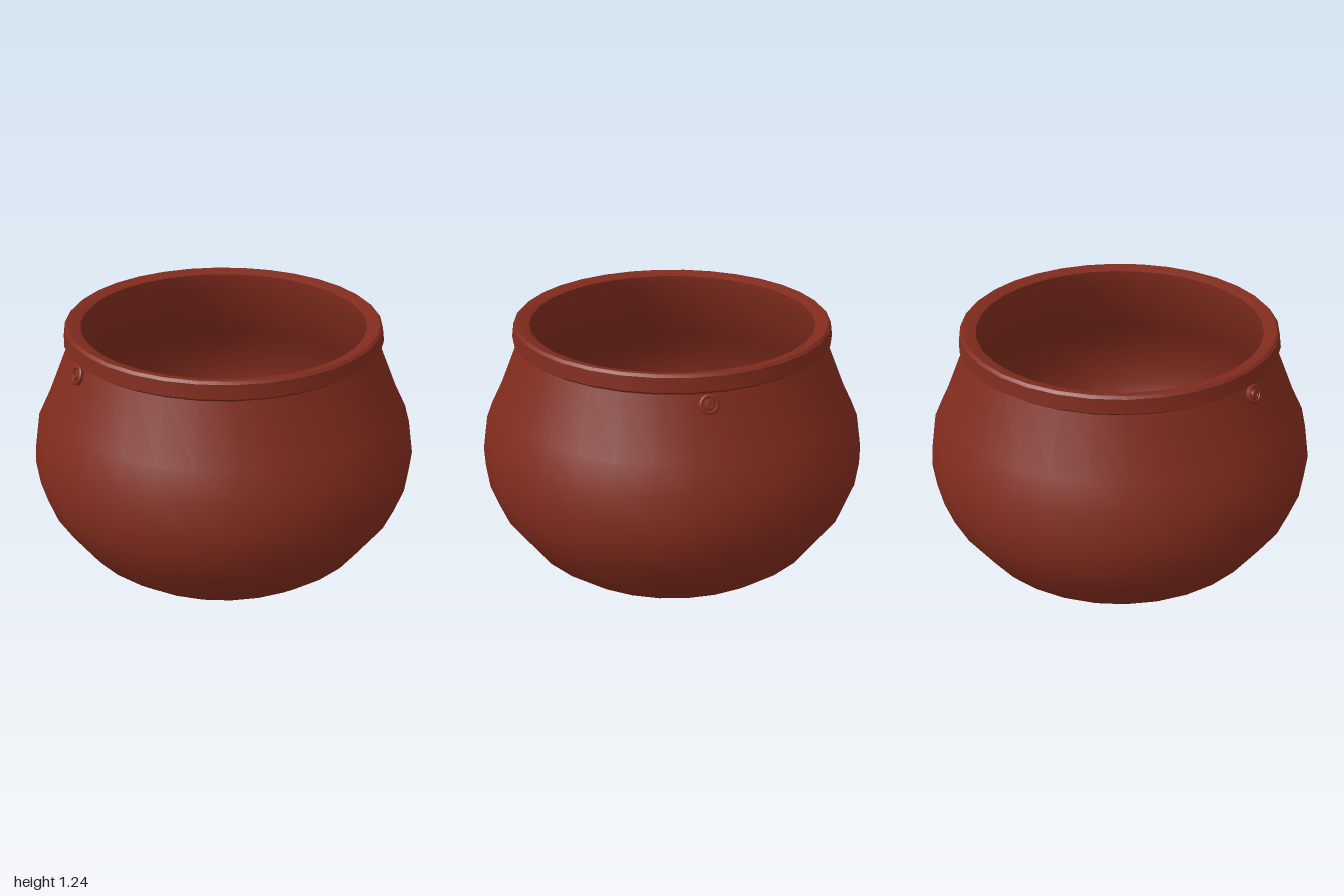
import * as THREE from 'three';
import { toCreasedNormals } from 'three/addons/utils/BufferGeometryUtils.js';

const clay = new THREE.MeshStandardMaterial({ color: 0x802b1d });

// Turned part: profile of [radius, height] pairs
function turned(name, profile, segments, crease) {
  const points = profile.map(([r, y]) => new THREE.Vector2(r, y));
  const geometry = toCreasedNormals(new THREE.LatheGeometry(points, segments), crease);
  const mesh = new THREE.Mesh(geometry, clay);
  mesh.name = name;
  return mesh;
}

export function createModel() {
  const group = new THREE.Group();
  group.name = 'pot';

  // Base, bulging wall and neck
  group.add(turned('outerWall', [
    [0, 0], [0.71, 0], [0.8, 0.075], [0.94, 0.28], [0.985, 0.41],
    [1, 0.54], [0.97, 0.72], [0.91, 0.84], [0.785, 1.14],
  ], 32, 0.6));

  // Flared collar with a bevelled mouth
  group.add(turned('rim', [
    [0.785, 1.14], [0.813, 1.16], [0.803, 1.228], [0.79, 1.24],
    [0.767, 1.237], [0.725, 1.222],
  ], 32, 0.35));

  // Hollow inside
  group.add(turned('innerWall', [
    [0.725, 1.222], [0.73, 1.13], [0.85, 0.82], [0.91, 0.71], [0.94, 0.54],
    [0.925, 0.42], [0.88, 0.29], [0.76, 0.12], [0.65, 0.06], [0, 0.05],
  ], 32, 0.8));

  // Ringed studs below the rim, front and back, tilted with the wall
  const ringProfile = [
    [0.048, -0.015], [0.048, 0.008], [0.042, 0.014], [0.034, 0.014], [0.03, 0.007],
    [0.026, 0.007], [0.022, 0.016], [0.014, 0.018], [0.011, 0.012], [0, 0.012],
  ];
  for (const [name, x, z] of [['frontStud', -0.1, 0.8], ['backStud', -0.08, -0.8]]) {
    const stud = turned(name, ringProfile, 16, 0.5);
    const radial = new THREE.Vector3(x, 0, z).normalize();
    const normal = radial.clone().setY(0.4).normalize();
    stud.position.copy(radial.multiplyScalar(0.806)).setY(1.095);
    stud.quaternion.setFromUnitVectors(new THREE.Vector3(0, 1, 0), normal);
    group.add(stud);
  }
  return group;
}
